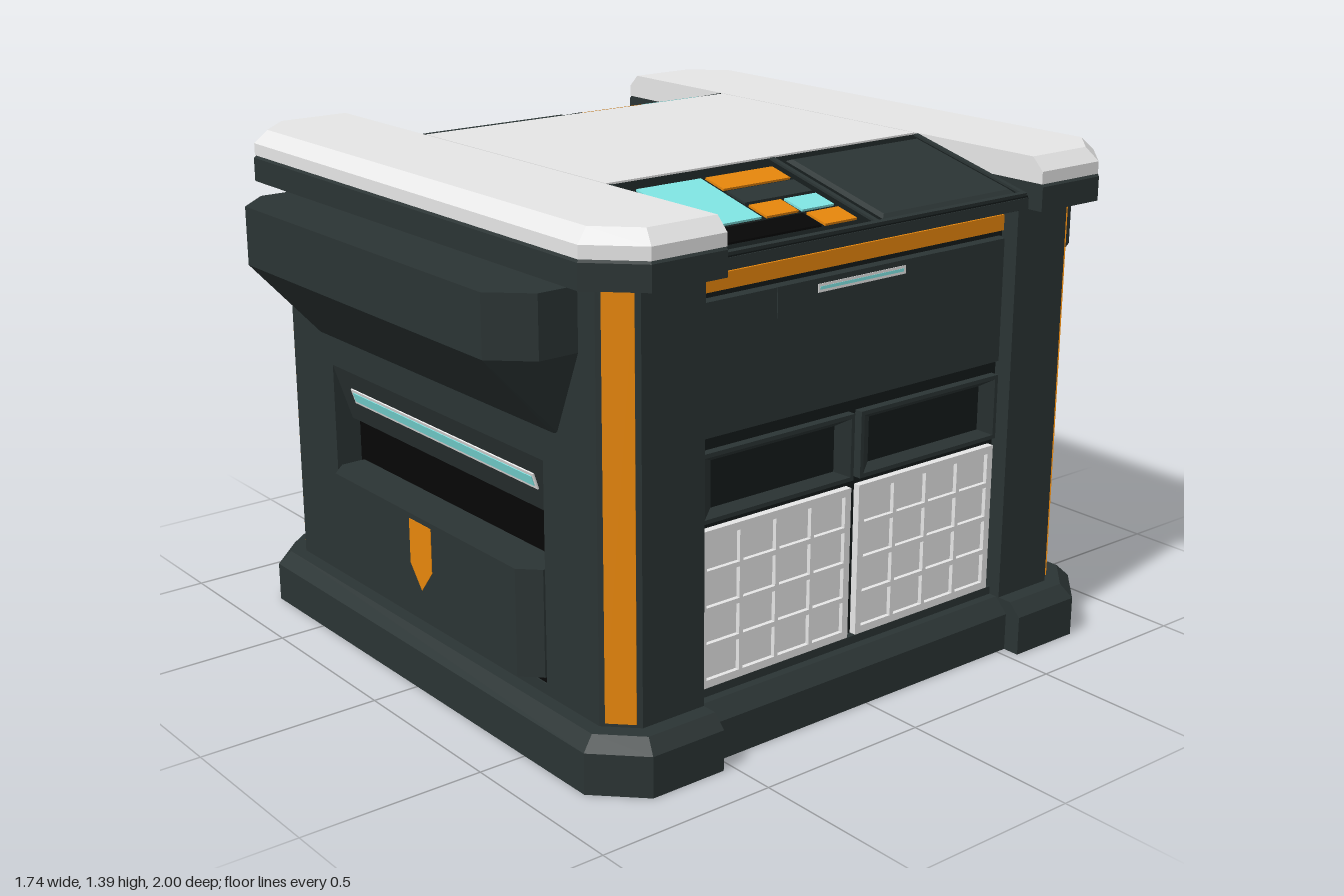
import * as THREE from 'three';

const mat = (name, color) => {
  const m = new THREE.MeshStandardMaterial({ color });
  m.name = name;
  return m;
};

// Stacks (x, z) outlines at given heights into a closed, flat-shaded solid
function loft(layers) {
  const rings = layers.map(([y, pts]) => pts.map(([x, z]) => [x, y, z]));
  const out = [], n = rings[0].length;
  const tri = (a, b, c) => out.push(...a, ...b, ...c);
  for (let k = 0; k < rings.length - 1; k++) {
    const a = rings[k], b = rings[k + 1];
    for (let i = 0; i < n; i++) {
      const j = (i + 1) % n;
      tri(a[i], b[i], b[j]);
      tri(a[i], b[j], a[j]);
    }
  }
  const lo = rings[0], hi = rings[rings.length - 1];
  for (let i = 1; i < n - 1; i++) {
    tri(lo[0], lo[i], lo[i + 1]);
    tri(hi[0], hi[i + 1], hi[i]);
  }
  const g = new THREE.BufferGeometry();
  g.setAttribute('position', new THREE.Float32BufferAttribute(out, 3));
  g.computeVertexNormals();
  return g;
}

const rect = (w, d) => [[-w / 2, -d / 2], [w / 2, -d / 2], [w / 2, d / 2], [-w / 2, d / 2]];
const frustum = (w, d, h, taper = 0) => loft([[0, rect(w, d)], [h, rect(w - 2 * taper, d - 2 * taper)]]);
const points = list => list.map(([x, y]) => new THREE.Vector2(x, y));
const extrude = (shape, depth) => new THREE.ExtrudeGeometry(shape, { depth, bevelEnabled: false });

// Outline of an end slab with two clipped corners
const slab = (i, s = 0.868) => [[-s + i, 0.53], [s - i, 0.53], [s - i, s - 0.118 - i * 0.4],
  [s - 0.118 - i * 0.4, s - i], [-s + 0.118 + i * 0.4, s - i], [-s + i, s - 0.118 - i * 0.4]];

// Symmetric six-point outline with clipped front corners
const clipped = (w, wf, back, mid, front) =>
  [[-w, back], [w, back], [w, mid], [wf, front], [-wf, front], [-w, mid]];

export function createModel() {
  const dark = mat('dark panel', 0x2b3434);
  const trim = mat('dark trim', 0x141a1a);
  const black = mat('black', 0x060606);
  const light = mat('light grey', 0xe6e6e6);
  const orange = mat('orange', 0xea880c);
  const cyan = mat('cyan', 0x80e6e4);
  const white = mat('white', 0xffffff);

  const model = new THREE.Group();
  const add = (parent, name, geo, m, x = 0, y = 0, z = 0) => {
    const mesh = new THREE.Mesh(geo, m);
    mesh.name = name;
    mesh.position.set(x, y, z);
    parent.add(mesh);
    return mesh;
  };
  const box = (parent, name, m, w, h, d, x, y, z) =>
    add(parent, name, new THREE.BoxGeometry(w, h, d), m, x, y, z);

  // Body with corner columns and recessed sides; the middle layer is notched for the bays
  const layer = (y0, y1, notch) => {
    const half = [[0.79, -0.72], [0.79, -0.53], [0.72, -0.53], [0.72, 0.53], [0.79, 0.53], [0.79, 0.72], [0.715, 0.795]];
    if (notch) half.push([0.5, 0.795], [0.5, 0.71], [-0.5, 0.71], [-0.5, 0.795]);
    half.push([-0.715, 0.795]);
    const shape = new THREE.Shape(points([...half, ...half.slice(0, -1).map(([x, y]) => [-x, -y]), [0.715, -0.795]]));
    add(model, 'body', extrude(shape, y1 - y0).rotateX(-Math.PI / 2), dark, 0, y0, 0);
  };
  layer(0.1, 0.175, false);
  layer(0.175, 0.765, true);
  layer(0.765, 1.26, false);

  // Base middle, roof middle and centre top plate
  add(model, 'baseMiddle', loft([[0, rect(1.64, 1.08)], [0.105, rect(1.64, 1.08)],
    [0.145, rect(1.56, 1.08)]]), dark);
  const roof = new THREE.Shape(points([[-0.82, 1.25], [0.82, 1.25], [0.82, 1.285], [0.41, 1.385],
    [-0.41, 1.385], [-0.82, 1.285]]));
  add(model, 'roof', extrude(roof, 1.06), trim, 0, 0, -0.53);
  box(model, 'topPlate', light, 0.81, 0.008, 1.052, 0, 1.386, 0);

  // Each half holds one end and one side; the second is turned half way round
  for (let k = 0; k < 2; k++) {
    const half = new THREE.Group();
    half.name = k ? 'backHalf' : 'frontHalf';
    half.rotation.y = k * Math.PI;
    model.add(half);
    buildEnd(half);
    buildSide(half);
    buildConsoles(half);
  }
  return model;

  function buildEnd(p) {
    add(p, 'baseEnd', loft([[0, slab(0)], [0.11, slab(0)], [0.145, slab(0.035)]]), dark);
    add(p, 'roofEnd', loft([[1.25, slab(0)], [1.315, slab(0)], [1.322, slab(0.008)]]), dark);
    add(p, 'roofCap', loft([[1.322, slab(0.003)], [1.355, slab(0.003)], [1.39, slab(0.038)]]), light);
    for (const s of [-1, 1]) {
      box(p, 'cornerStrip', orange, 0.077, 1.085, 0.009, s * 0.7525, 0.6975, 0.7575)
        .rotation.y = s * Math.PI / 4;
    }

    // Overhanging hood
    const hood = clipped(0.65, 0.56, 0.79, 0.905, 1.0);
    add(p, 'hood', loft([[0.85, clipped(0.56, 0.55, 0.785, 0.792, 0.8)], [1.07, hood], [1.23, hood]]), dark);

    // Bay with sloped lintel, light strip and drawer
    box(p, 'bayBack', black, 1, 0.59, 0.006, 0, 0.47, 0.715);
    box(p, 'bayFloor', black, 1, 0.006, 0.075, 0, 0.179, 0.755);
    add(p, 'bayLintel', loft([[0.6, [[-0.5, 0.71], [0.5, 0.71], [0.5, 0.74], [-0.5, 0.74]]],
      [0.765, [[-0.5, 0.71], [0.5, 0.71], [0.5, 0.795], [-0.5, 0.795]]]]), dark);
    const strip = new THREE.Group();
    strip.name = 'lightStrip';
    strip.position.set(0, 0.687, 0.77);
    strip.rotation.x = Math.atan(0.055 / 0.165);
    p.add(strip);
    box(strip, 'stripBorder', white, 0.87, 0.046, 0.006, 0, 0, 0);
    box(strip, 'stripLight', cyan, 0.852, 0.028, 0.006, 0, 0, 0.002);
    add(p, 'drawer', loft([0.185, 0.475].map(y => [y, clipped(0.485, 0.435, 0.715, 0.79, 0.84)])), dark);
    const tag = new THREE.Shape(points([[-0.052, 0.46], [-0.052, 0.335], [0, 0.27], [0.052, 0.335], [0.052, 0.46]]));
    add(p, 'drawerTag', extrude(tag, 0.003), orange, 0, 0, 0.8385);
  }

  function buildSide(p) {
    const x = 0.735;
    const outward = g => g.rotateZ(-Math.PI / 2);
    box(p, 'sideBacking', trim, 0.02, 1.1, 1.06, 0.726, 0.7, 0);
    box(p, 'sideSill', dark, 0.02, 0.025, 1.06, 0.746, 0.155, 0);
    box(p, 'sideStripe', orange, 0.02, 0.042, 1.03, 0.746, 1.205, 0);

    // Upper cover with pull and slot light
    add(p, 'sideCover', outward(frustum(0.345, 1.045, 0.022, 0.004)), dark, x, 0.993, 0);
    box(p, 'coverPull', dark, 0.004, 0.078, 0.56, 0.758, 1.124, 0);
    box(p, 'slotBorder', white, 0.004, 0.022, 0.3, 0.7595, 1.138, 0);
    box(p, 'slotLight', cyan, 0.004, 0.008, 0.286, 0.7605, 1.138, 0);

    // Grille lattice with square pockets
    const lattice = new THREE.Shape(points(rect(0.5, 0.418)));
    for (let i = 0; i < 4; i++) for (let j = 0; j < 4; j++) {
      const cell = rect(0.106, 0.084).map(([u, v]) => [u + (j - 1.5) * 0.118, v + (i - 1.5) * 0.0975]);
      lattice.holes.push(new THREE.Path(points(cell)));
    }

    for (const s of [-1, 1]) {
      // Window sunk into a bevelled frame
      const zc = s * 0.264;
      add(p, 'windowFrame', outward(loft([[0, rect(0.18, 0.505)], [0.035, rect(0.18, 0.505)],
        [0.035, rect(0.158, 0.483)], [0.004, rect(0.112, 0.385)]])), dark, 0.725, 0.697, zc);
      box(p, 'windowBorder', white, 0.004, 0.1, 0.365, 0.73, 0.695, zc);
      box(p, 'windowGlass', cyan, 0.004, 0.08, 0.345, 0.731, 0.695, zc);

      box(p, 'grilleBack', light, 0.012, 0.418, 0.5, 0.738, 0.377, zc);
      add(p, 'grilleLattice', extrude(lattice, 0.014).rotateY(Math.PI / 2), light, 0.742, 0.377, zc);
    }
  }

  function buildConsoles(p) {
    box(p, 'roofFascia', dark, 0.006, 0.03, 1.06, 0.8195, 1.266, 0);
    const slope = Math.atan(0.1 / 0.41), c = Math.cos(slope);
    const deck = new THREE.Group();
    deck.name = 'consoleDeck';
    deck.position.set(0.41, 1.385, 0);
    deck.rotation.z = -slope;
    p.add(deck);
    const plate = (name, m, x0, x1, z0, z1, h = 0.006, taper = 0) =>
      add(deck, name, frustum((x1 - x0) / c, z1 - z0, h, taper), m, ((x0 + x1) / 2 - 0.41) / c, 0, (z0 + z1) / 2);

    plate('blankPanel', dark, 0.435, 0.795, -0.505, -0.03, 0.008, 0.012);
    // Raised rims around the two decks
    for (const z of [-0.522, 0, 0.522]) plate('deckRim', dark, 0.415, 0.815, z - 0.007, z + 0.007);
    plate('deckOuterRim', dark, 0.803, 0.815, -0.52, 0.52);

    plate('screen', cyan, 0.46, 0.69, 0.275, 0.477);
    plate('longKey', orange, 0.46, 0.53, 0.04, 0.26);
    plate('darkKey', dark, 0.542, 0.612, 0.04, 0.26);
    plate('smallKey', cyan, 0.625, 0.692, 0.04, 0.145);
    plate('smallKey', orange, 0.707, 0.775, 0.04, 0.145);
    plate('smallKey', orange, 0.625, 0.692, 0.157, 0.26);
    plate('slot', black, 0.707, 0.775, 0.157, 0.48);
  }
}
